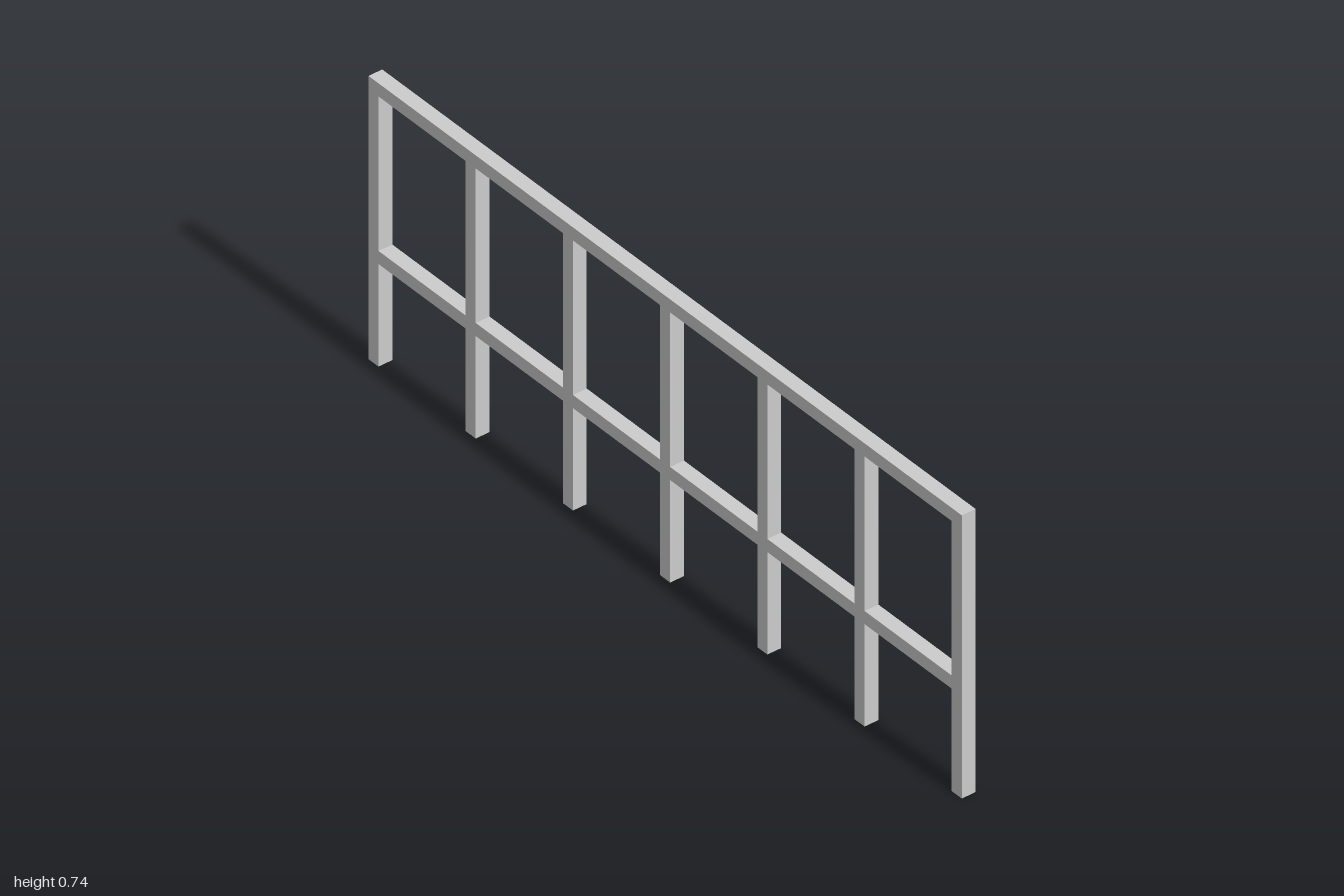
import * as THREE from 'three';

const LENGTH = 2, HEIGHT = 0.735, DEPTH = 0.037, BAR = 0.034;
const POSTS = 7, MID_RAIL_Y = 0.283;

export function createModel() {
  const railing = new THREE.Group();
  railing.name = 'railing';
  const material = new THREE.MeshStandardMaterial({ color: 0xcccccc });

  const addBar = (name, width, height, x, y) => {
    const bar = new THREE.Mesh(new THREE.BoxGeometry(width, height, DEPTH), material);
    bar.name = name;
    bar.position.set(x, y, 0);
    railing.add(bar);
  };

  // Handrail across the full length
  addBar('topRail', LENGTH, BAR, 0, HEIGHT - BAR / 2);

  // Evenly spaced posts up to the underside of the handrail
  const spacing = (LENGTH - BAR) / (POSTS - 1);
  const postHeight = HEIGHT - BAR;
  for (let i = 0; i < POSTS; i++) {
    const x = (i - (POSTS - 1) / 2) * spacing;
    addBar(`post${i + 1}`, BAR, postHeight, x, postHeight / 2);
    // Middle rail section fitted between this post and the next
    if (i < POSTS - 1) {
      addBar(`middleRail${i + 1}`, spacing - BAR, BAR, x + spacing / 2, MID_RAIL_Y);
    }
  }
  return railing;
}
